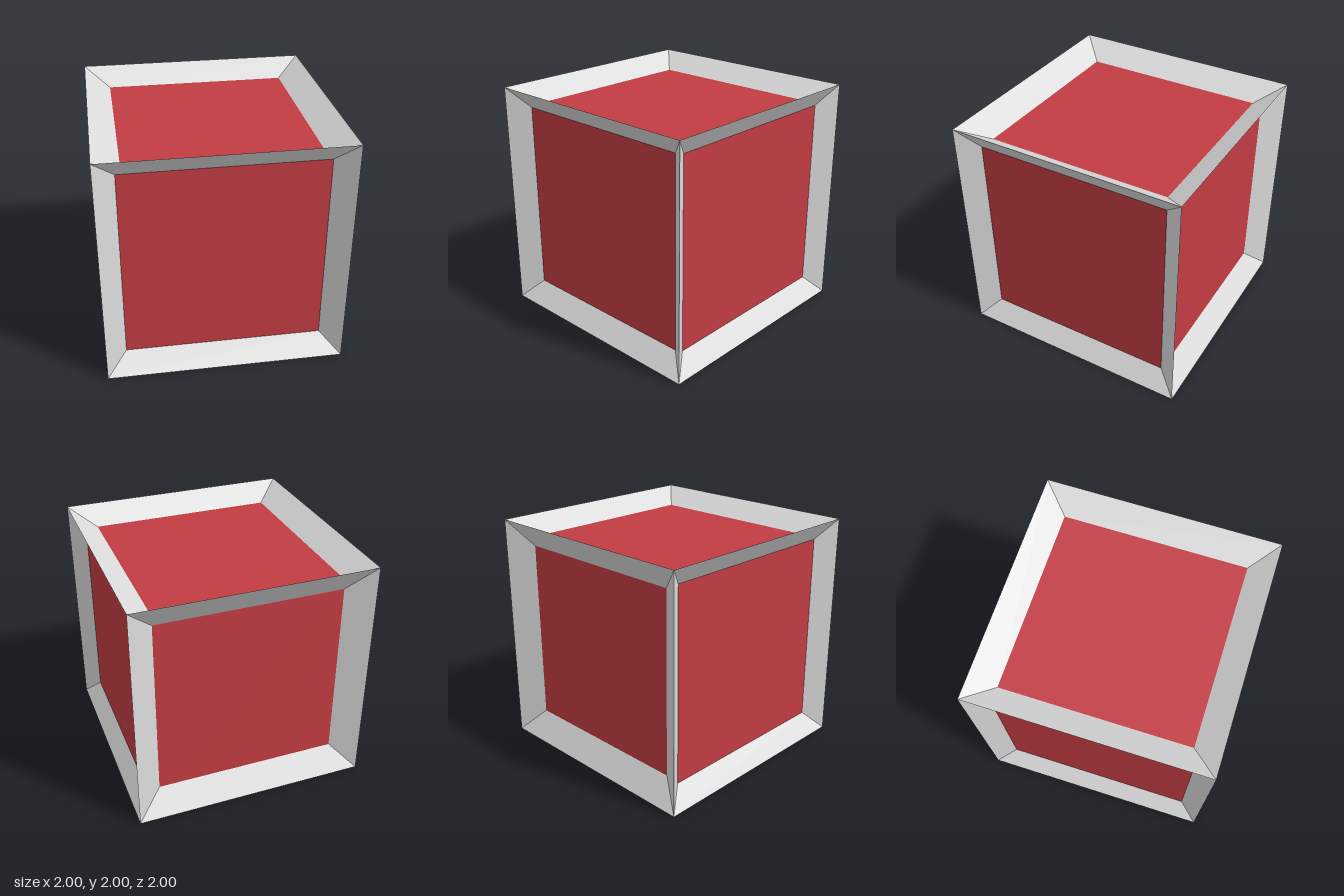
import * as THREE from 'three';

const frameGrey = new THREE.MeshStandardMaterial({ color: 0xdcdcdc });
frameGrey.name = 'light grey';
const panelRed = new THREE.MeshStandardMaterial({ color: 0xc23c43 });
panelRed.name = 'red';

// Four slopes from the edges of a 2 x 2 face down to a sunken square, facing +z
function bevelGeometry(half, depth) {
  const corners = [[-1, -1], [1, -1], [1, 1], [-1, 1]];
  const points = [];
  for (let i = 0; i < 4; i++) {
    const [ax, ay] = corners[i];
    const [bx, by] = corners[(i + 1) % 4];
    const a = [ax, ay, 1], b = [bx, by, 1];
    const c = [bx * half, by * half, 1 - depth], d = [ax * half, ay * half, 1 - depth];
    points.push(...a, ...b, ...c, ...a, ...c, ...d);
  }
  const geometry = new THREE.BufferGeometry();
  geometry.setAttribute('position', new THREE.Float32BufferAttribute(points, 3));
  geometry.computeVertexNormals();
  return geometry;
}

// One side of the cube: sloped frame and sunken panel
function cubeSide(name, half, depth, rx, ry) {
  const side = new THREE.Group();
  side.name = name + 'Side';
  const bevel = new THREE.Mesh(bevelGeometry(half, depth), frameGrey);
  bevel.name = name + 'Frame';
  const panel = new THREE.Mesh(new THREE.PlaneGeometry(2 * half, 2 * half), panelRed);
  panel.name = name + 'Panel';
  panel.position.z = 1 - depth;
  side.add(bevel, panel);
  side.rotation.set(rx, ry, 0);
  side.position.y = 1;
  return side;
}

export function createModel() {
  const model = new THREE.Group();
  model.name = 'panelledCube';
  const q = Math.PI / 2;
  // name, panel half width, panel depth, rotation about x and y
  const sides = [
    ['front', 0.83, 0.14, 0, 0],
    ['back', 0.785, 0.14, 0, 2 * q],
    ['left', 0.83, 0.12, 0, q],
    ['right', 0.83, 0.125, 0, -q],
    ['top', 0.785, 0.135, -q, 0],
    ['bottom', 0.79, 0.14, q, 0],
  ];
  for (const side of sides) model.add(cubeSide(...side));
  return model;
}
